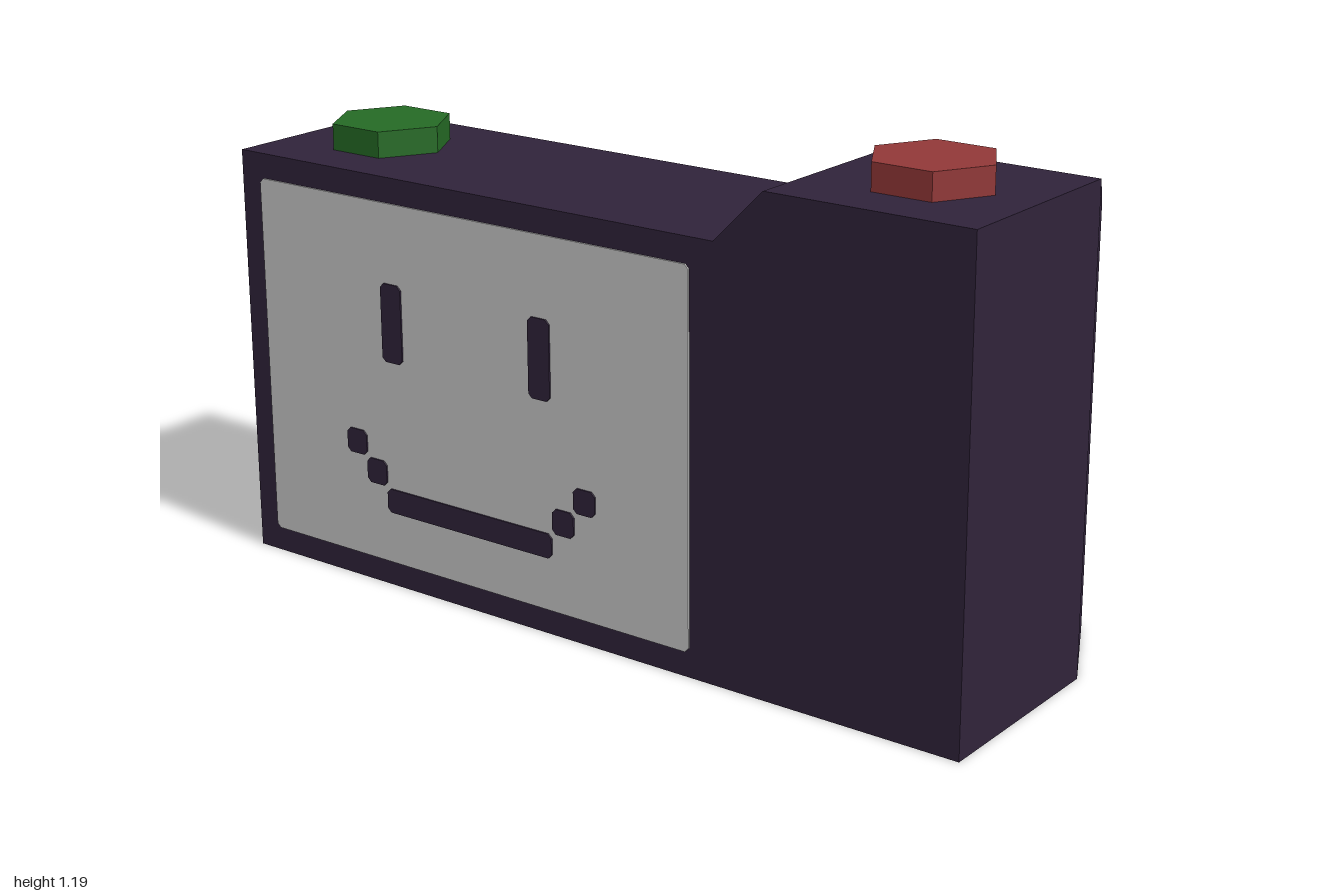
import * as THREE from 'three';
import { ConvexGeometry } from 'three/addons/geometries/ConvexGeometry.js';

function material(name, color) {
  const m = new THREE.MeshStandardMaterial({ color, flatShading: true });
  m.name = name;
  return m;
}

export function createModel() {
  const mats = {
    body: material('dark plum', 0x30233a),
    panel: material('light grey', 0xcacaca),
    barrel: material('mid grey', 0x6e6e6e),
    glass: material('blue glass', 0x5096bb),
    green: material('green', 0x256a25),
    red: material('red', 0x923838),
  };
  const FRONT = 0.4375, BACK = -0.0625, GRIP = -0.3125, THIN = 0.004;
  const group = new THREE.Group();
  group.name = 'camera';

  const add = (name, geometry, mat, x = 0, y = 0, z = 0) => {
    const mesh = new THREE.Mesh(geometry, mat);
    mesh.name = name;
    mesh.position.set(x, y, z);
    group.add(mesh);
  };

  // Thin plate with clipped corners, spanning x0..x1 and y0..y1
  const plate = (name, mat, x0, x1, y0, y1, z, c = 0.01) => {
    const s = new THREE.Shape([
      [x0 + c, y0], [x1 - c, y0], [x1, y0 + c], [x1, y1 - c],
      [x1 - c, y1], [x0 + c, y1], [x0, y1 - c], [x0, y0 + c],
    ].map(([x, y]) => new THREE.Vector2(x, y)));
    add(name, new THREE.ExtrudeGeometry(s, { depth: THIN, bevelEnabled: false }), mat, 0, 0, z);
  };

  // Main body
  add('body', new THREE.BoxGeometry(1.375, 1, FRONT - BACK), mats.body, -0.3125, 0.5, (FRONT + BACK) / 2);

  // Raised hand grip with a tapered nose
  const foot = [[0.375, FRONT], [1, FRONT], [1, BACK], [0.875, GRIP], [0.5, GRIP], [0.375, BACK]];
  const points = foot.map(([x, z]) => new THREE.Vector3(x, 0, z));
  for (const x of [0.5, 1]) for (const z of [FRONT, BACK]) points.push(new THREE.Vector3(x, 1.125, z));
  for (const z of [FRONT, BACK]) points.push(new THREE.Vector3(0.375, 1, z));
  for (const x of [0.5, 0.875]) points.push(new THREE.Vector3(x, 1, GRIP));
  add('grip', new ConvexGeometry(points), mats.body);

  // Hexagonal buttons
  const button = new THREE.CylinderGeometry(0.1443, 0.1443, 0.0625, 6).rotateY(Math.PI / 6);
  add('greenButton', button, mats.green, -0.75, 1.03125, 0.1875);
  add('redButton', button, mats.red, 0.75, 1.15625, 0.1875);

  // Twelve-sided lens
  const disc = (r, depth) =>
    new THREE.CylinderGeometry(r, r, depth, 12).rotateY(Math.PI / 12).rotateX(Math.PI / 2);
  add('lensBarrel', disc(0.388, 0.375), mats.barrel, -0.3125, 0.5, -0.25);
  add('lensGlass', disc(0.346, THIN), mats.glass, -0.3125, 0.5, -0.4375);

  // Flash window
  plate('flash', mats.panel, 0.065, 0.33, 0.81, 0.935, BACK - THIN, 0.003);

  // Screen and its smiling face
  plate('screen', mats.panel, -0.94, 0.315, 0.06, 0.94, FRONT);
  const mark = (name, x0, x1, y0, y1) => plate(name, mats.body, x0, x1, y0, y1, FRONT + THIN);
  mark('mouth', -0.5625, -0.065, 0.188, 0.247);
  for (const side of [-1, 1]) {
    const mirrored = (name, a, b, y0, y1) => {
      const xs = [side * a, side * b].sort((p, q) => p - q).map((x) => x - 0.3125);
      mark(name, xs[0], xs[1], y0, y1);
    };
    mirrored('eye', 0.189, 0.25, 0.561, 0.75);
    mirrored('mouthCorner', 0.251, 0.312, 0.251, 0.312);
    mirrored('mouthTip', 0.312, 0.373, 0.315, 0.375);
  }
  return group;
}
